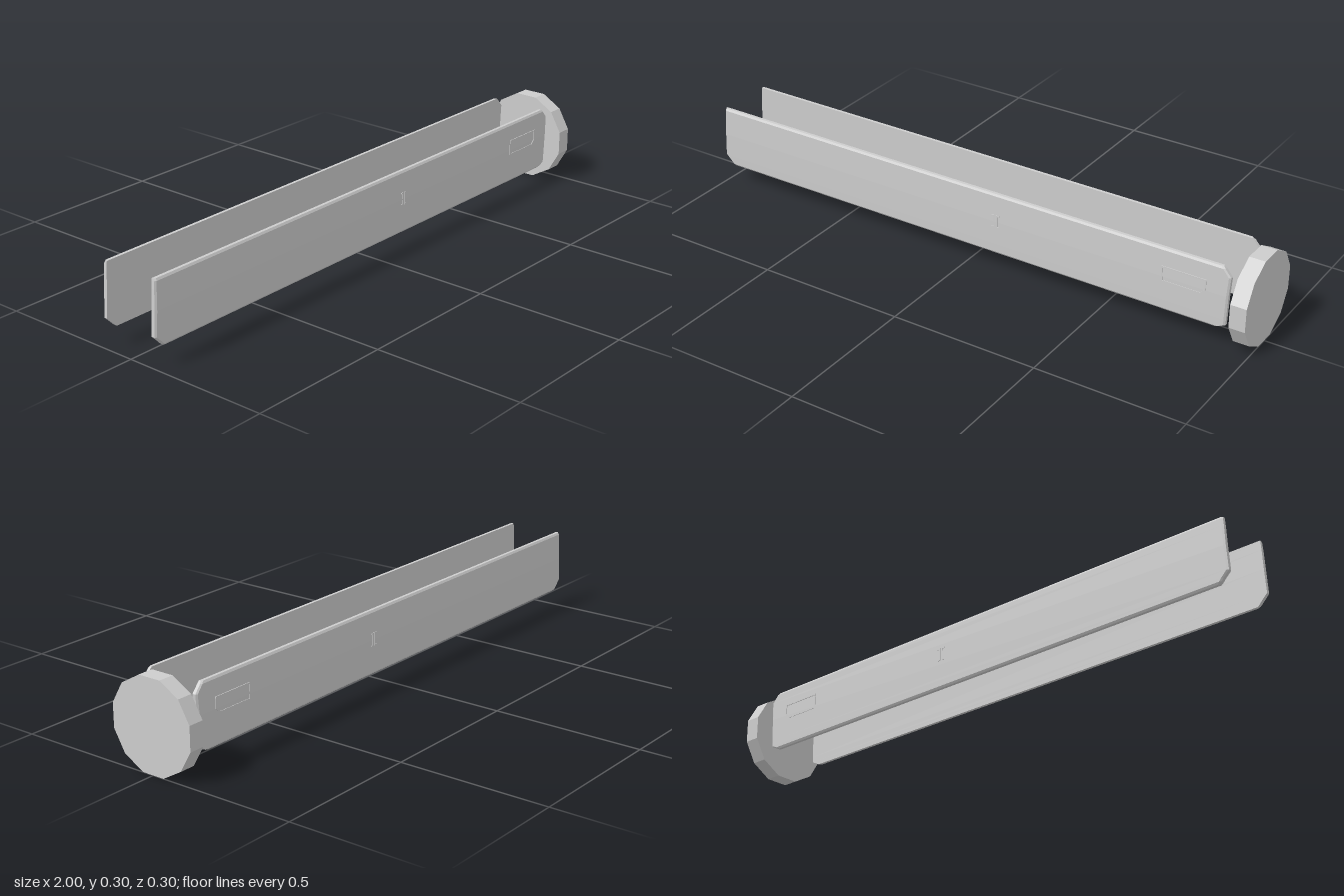
import * as THREE from 'three';

const grey = new THREE.MeshStandardMaterial({ color: 0xcccccc, flatShading: true });
grey.name = 'plain grey';

// Reflects a geometry to the other side of z = 0, keeping its faces outward
function mirrorZ(geometry) {
  const g = geometry.index ? geometry.toNonIndexed() : geometry.clone();
  const p = g.attributes.position;
  const a = new THREE.Vector3(), b = new THREE.Vector3();
  for (let i = 0; i < p.count; i += 3) {
    a.fromBufferAttribute(p, i + 1);
    b.fromBufferAttribute(p, i + 2);
    p.setXYZ(i + 1, b.x, b.y, b.z);
    p.setXYZ(i + 2, a.x, a.y, a.z);
  }
  g.scale(1, 1, -1);
  g.computeVertexNormals();
  return g;
}

// Long side panel, lofted upward through horizontal sections
function panelGeometry() {
  const inner = 0.091, bevel = 0.006;
  // y, left end, right end, outer z
  const rows = [
    [0.065, -0.965, 0.885, 0.101],
    [0.071, -0.972, 0.898, 0.1055],
    [0.08, -0.98, 0.916, 0.1057],
    [0.1, -1, 0.917, 0.106],
    [0.18, -0.995, 0.92, 0.107],
    [0.245, -0.992, 0.924, 0.1055],
    [0.27, -0.99, 0.903, 0.105],
    [0.277, -0.989, 0.896, 0.101],
  ];
  const sections = rows.map(([y, l, r, z]) => [
    [l, y, inner], [l, y, z - 0.004], [l + bevel, y, z],
    [r - bevel, y, z], [r, y, z - 0.004], [r, y, inner],
  ]);
  const out = [];
  const tri = (a, b, c) => out.push(...a, ...b, ...c);
  for (let j = 0; j < sections.length - 1; j++) {
    const s = sections[j], t = sections[j + 1];
    for (let i = 0; i < s.length; i++) {
      const k = (i + 1) % s.length;
      tri(s[i], s[k], t[k]);
      tri(s[i], t[k], t[i]);
    }
  }
  const bottom = sections[0], top = sections[sections.length - 1];
  for (let i = 1; i < top.length - 1; i++) {
    tri(top[0], top[i], top[i + 1]);
    tri(bottom[0], bottom[i + 1], bottom[i]);
  }
  const g = new THREE.BufferGeometry();
  g.setAttribute('position', new THREE.Float32BufferAttribute(out, 3));
  g.computeVertexNormals();
  return g;
}

const toPath = (Type, pts) => new Type(pts.map(([x, y]) => new THREE.Vector2(x, y)));

function relief(shape) {
  const g = new THREE.ExtrudeGeometry(shape, { depth: 0.004, bevelEnabled: false });
  g.translate(0, 0, 0.1045);
  return g;
}

// Thin frame with one clipped corner
function frameGeometry() {
  const outline = (d) => [
    [0.7 + d, 0.164 + d], [0.832 - d / 2, 0.164 + d], [0.848 - d, 0.18 + d / 2],
    [0.848 - d, 0.217 - d], [0.7 + d, 0.217 - d],
  ];
  const shape = toPath(THREE.Shape, outline(0));
  shape.holes.push(toPath(THREE.Path, outline(0.004)));
  return relief(shape);
}

// Small bracket mark; dir sets the way its ends point
function bracketGeometry(x, dir) {
  const pts = [
    [0, 0.16], [0.011, 0.16], [0.011, 0.164], [0.004, 0.164],
    [0.004, 0.2], [0.011, 0.2], [0.011, 0.204], [0, 0.204],
  ].map(([dx, y]) => [x + dir * dx, y]);
  return relief(toPath(THREE.Shape, pts));
}

export function createModel() {
  const model = new THREE.Group();
  model.name = 'railAssembly';

  // Matching front and back side panels
  const parts = {
    Panel: panelGeometry(),
    PanelFrame: frameGeometry(),
    InnerBracket: bracketGeometry(0.108, -1),
    OuterBracket: bracketGeometry(0.114, 1),
  };
  for (const side of ['front', 'back']) {
    const group = new THREE.Group();
    group.name = side + 'Side';
    for (const [name, geometry] of Object.entries(parts)) {
      const mesh = new THREE.Mesh(side === 'front' ? geometry : mirrorZ(geometry), grey);
      mesh.name = side + name;
      group.add(mesh);
    }
    model.add(group);
  }

  // Twelve-sided end disc
  const disc = new THREE.CylinderGeometry(0.153, 0.153, 0.053, 12);
  disc.rotateY(Math.PI / 12);
  disc.rotateZ(Math.PI / 2);
  disc.translate(0.9735, 0.148, 0);
  const endDisc = new THREE.Mesh(disc, grey);
  endDisc.name = 'endDisc';
  model.add(endDisc);

  return model;
}
